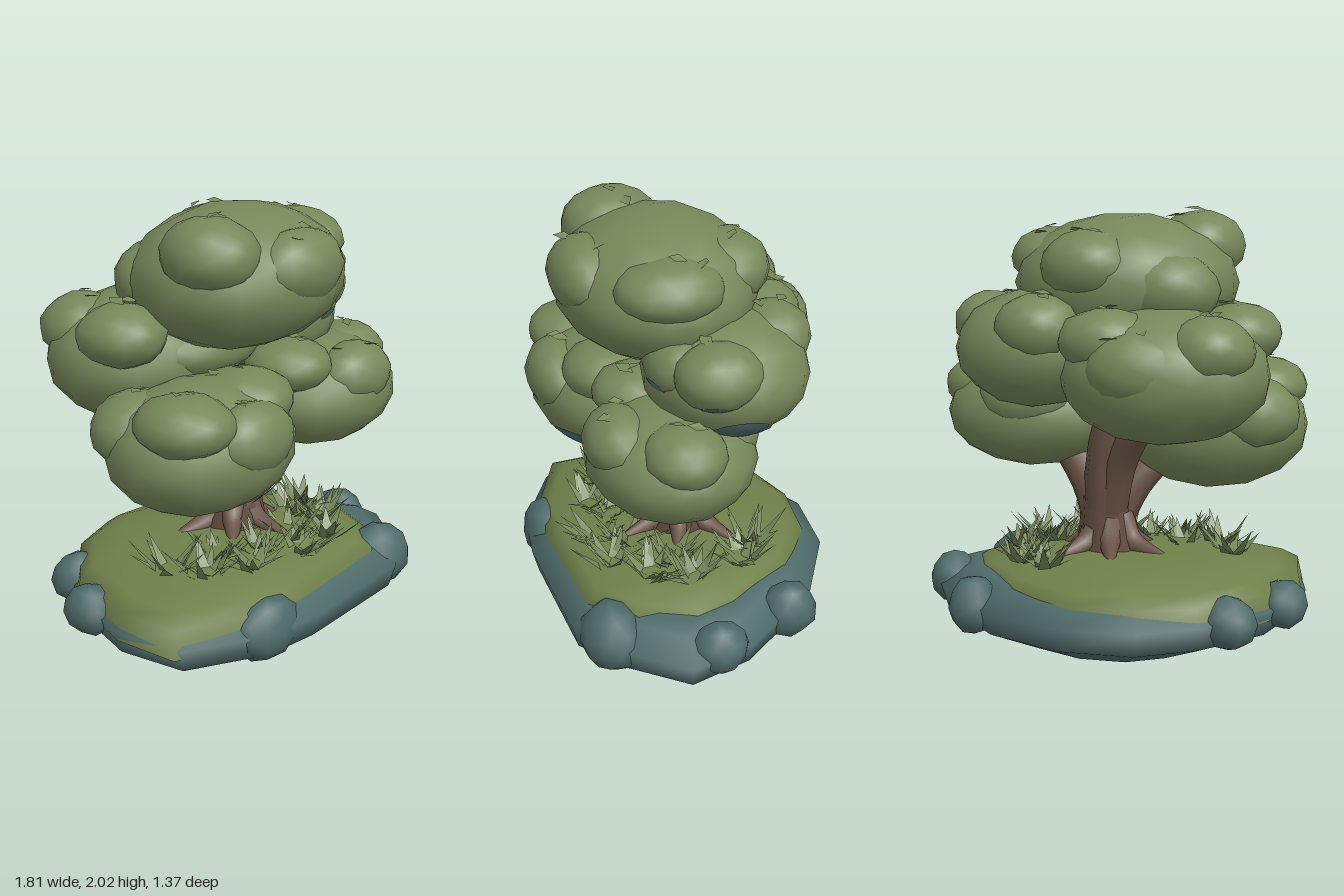
import * as THREE from 'three';
import { mergeVertices } from 'three/addons/utils/BufferGeometryUtils.js';

const mat = (name, color, side = THREE.FrontSide) => {
  const m = new THREE.MeshStandardMaterial({ color, side });
  m.name = name;
  return m;
};

export function createModel() {
  const model = new THREE.Group();
  const leaf = mat('leaf green', 0x76885a, THREE.DoubleSide);
  const turf = mat('turf green', 0x6f804a, THREE.DoubleSide);
  const stone = mat('blue grey stone', 0x4f6b6a);
  const bark = mat('brown bark', 0x6a5347);

  let seed = 7;
  const rnd = (a = 0, b = 1) => {
    seed = (seed * 16807) % 2147483647;
    return a + (b - a) * seed / 2147483647;
  };
  const add = (name, geometry, material, parent = model) => {
    const m = new THREE.Mesh(geometry, material);
    m.name = name;
    parent.add(m);
    return m;
  };
  const group = (name) => {
    const g = new THREE.Group();
    g.name = name;
    model.add(g);
    return g;
  };

  // Closed body: one outline scaled at several heights, bottom to top
  function loft(outline, rings) {
    const n = outline.length, pos = [], idx = [];
    rings.forEach(([y, s]) => outline.forEach(([x, z]) => pos.push(x * s, y, z * s)));
    for (let r = 0; r < rings.length - 1; r++) {
      for (let i = 0; i < n; i++) {
        const a = r * n + i, b = r * n + (i + 1) % n;
        idx.push(a, a + n, b, b, a + n, b + n);
      }
    }
    let g = new THREE.BufferGeometry();
    g.setAttribute('position', new THREE.Float32BufferAttribute(pos, 3));
    g.setIndex(idx);
    g = mergeVertices(g, 1e-4);
    g.computeVertexNormals();
    return g;
  }

  // Rock base and grassy mound
  add('rockBase', loft([[0.9, 0.18], [0.7, 0.44], [0.48, 0.62], [-0.17, 0.68], [-0.45, 0.66], [-0.82, 0.48],
    [-0.88, 0.15], [-0.76, -0.25], [-0.5, -0.54], [-0.23, -0.69], [0.12, -0.68], [0.48, -0.5], [0.8, -0.12]],
  [[0, 0], [0.045, 0.6], [0.155, 0.96], [0.26, 1], [0.335, 0.86], [0.365, 0.76], [0.375, 0]]), stone);
  add('grassMound', loft([[0.72, 0.1], [0.61, 0.36], [0.42, 0.55], [-0.15, 0.615], [-0.45, 0.615], [-0.84, 0.46],
    [-0.87, 0.15], [-0.75, -0.25], [-0.49, -0.53], [-0.22, -0.63], [0.1, -0.61], [0.4, -0.43], [0.65, -0.1]],
  [[0.22, 1], [0.34, 0.97], [0.385, 0.88], [0.43, 0.7], [0.46, 0.4], [0.468, 0]]), turf);

  // Rounded lump with softly irregular vertices
  function lump(name, [x, y, z, rx, ry, rz], material, parent, detail = 2, rough = 0.03) {
    let g = new THREE.IcosahedronGeometry(1.02, detail);
    g.deleteAttribute('normal');
    g.deleteAttribute('uv');
    g = mergeVertices(g, 1e-3);
    const p = g.attributes.position;
    for (let i = 0; i < p.count; i++) {
      const s = 1 + rnd(-rough, rough);
      p.setXYZ(i, p.getX(i) * s * rx, p.getY(i) * s * ry, p.getZ(i) * s * rz);
    }
    g.computeVertexNormals();
    add(name, g, material, parent).position.set(x, y, z);
  }

  // Boulders around the rim
  const boulders = group('boulders');
  [[-0.38, 0.245, 0.57, 0.18, 0.14, 0.11], [0.54, 0.25, 0.46, 0.18, 0.15, 0.14], [0.78, 0.27, 0.03, 0.11, 0.12, 0.13],
    [0.57, 0.25, -0.36, 0.11, 0.135, 0.13], [-0.8, 0.26, -0.1, 0.11, 0.11, 0.13], [-0.59, 0.25, -0.4, 0.13, 0.12, 0.12]]
    .forEach((b) => lump('boulder', b, stone, boulders, 1, 0.05));

  // Tapered limb along a smooth path
  function limb(name, points, r0, r1, parent) {
    const n = 8, sides = 8;
    const curve = new THREE.CatmullRomCurve3(points.map((p) => new THREE.Vector3(...p)));
    const g = new THREE.TubeGeometry(curve, n, 1, sides, false);
    const p = g.attributes.position, v = new THREE.Vector3();
    for (let i = 0; i < p.count; i++) {
      const t = Math.floor(i / (sides + 1)) / n, c = curve.getPointAt(t);
      v.fromBufferAttribute(p, i).sub(c).multiplyScalar(r0 + (r1 - r0) * t).add(c);
      p.setXYZ(i, v.x, v.y, v.z);
    }
    add(name, g, bark, parent);
  }

  // Trunk, branches and flared roots
  const tree = group('trunkAndBranches');
  limb('trunk', [[0.02, 0.42, 0.01], [0.03, 0.56, 0], [0.04, 0.72, -0.02]], 0.16, 0.105, tree);
  limb('leftBranch', [[0.05, 0.58, 0], [0.12, 0.76, 0.03], [0.34, 1.05, 0.1]], 0.1, 0.065, tree);
  limb('rightBranch', [[0.02, 0.58, 0.02], [-0.1, 0.78, 0.08], [-0.34, 1, 0.2]], 0.1, 0.065, tree);
  limb('middleBranch', [[0.03, 0.6, -0.02], [0.03, 0.85, -0.06], [-0.02, 1.15, -0.08], [-0.03, 1.45, 0]], 0.1, 0.07, tree);
  limb('backBranch', [[0.02, 0.62, -0.03], [-0.06, 0.9, -0.1], [-0.25, 1.2, -0.25]], 0.085, 0.06, tree);
  for (let i = 0; i < 6; i++) {
    const a = i / 6 * Math.PI * 2 + 0.3, c = Math.cos(a), s = Math.sin(a), l = 0.23 + 0.05 * (i % 2);
    limb('root', [[0.02 + c * 0.05, 0.6, s * 0.05], [0.02 + c * 0.12, 0.5, s * 0.12],
      [0.02 + c * l, 0.445, s * l]], 0.075, 0.02, tree);
  }

  // Canopy: main crown first in each list, then the bumps on it
  const crowns = {
    topCrown: [[-0.045, 1.68, 0.09, 0.505, 0.31, 0.44], [-0.02, 1.76, 0.41, 0.24, 0.165, 0.16],
      [-0.36, 1.84, 0.22, 0.2, 0.16, 0.22], [0.3, 1.79, 0.12, 0.19, 0.135, 0.24],
      [0.07, 1.77, -0.18, 0.22, 0.16, 0.2], [-0.26, 1.67, -0.15, 0.24, 0.17, 0.19]],
    frontRightCrown: [[-0.42, 1.02, 0.22, 0.445, 0.29, 0.37], [-0.39, 1.1, 0.485, 0.215, 0.16, 0.14],
      [-0.64, 1.19, 0.34, 0.21, 0.13, 0.22], [-0.2, 1.19, 0.27, 0.22, 0.13, 0.22], [-0.62, 1.1, 0.05, 0.22, 0.17, 0.2]],
    frontLeftCrown: [[0.4, 1.07, 0.145, 0.41, 0.255, 0.37], [0.42, 1.175, 0.38, 0.2, 0.145, 0.15],
      [0.14, 1.25, 0.23, 0.19, 0.12, 0.2], [0.64, 1.19, 0.15, 0.19, 0.135, 0.18], [0.39, 1.16, -0.07, 0.22, 0.15, 0.17]],
    backLeftCrown: [[0.32, 1.4, -0.12, 0.37, 0.26, 0.36], [0.56, 1.5, -0.02, 0.17, 0.14, 0.19],
      [0.27, 1.51, -0.34, 0.19, 0.15, 0.17], [0.36, 1.48, 0.1, 0.2, 0.14, 0.15]],
    backRightCrown: [[-0.28, 1.31, -0.27, 0.46, 0.3, 0.38], [-0.58, 1.48, -0.09, 0.19, 0.135, 0.2],
      [-0.5, 1.44, -0.42, 0.19, 0.15, 0.19], [-0.2, 1.36, -0.52, 0.22, 0.16, 0.14],
      [-0.05, 1.47, -0.39, 0.22, 0.14, 0.18], [-0.15, 1.36, 0, 0.31, 0.13, 0.17]],
  };
  const canopy = group('canopy');
  for (const [name, list] of Object.entries(crowns)) {
    list.forEach((b, i) => lump(i ? name + 'Bump' : name, b, leaf, canopy, 2, i ? 0.03 : 0.012));
  }

  // Blue grey patches under the crowns: thin caps hugging the surface
  const up = new THREE.Vector3(0, 1, 0);
  function patch([x, y, z, rx, ry, rz], dir, size) {
    const g = new THREE.SphereGeometry(1.028, 14, 5, 0, Math.PI * 2, 0, size);
    g.applyQuaternion(new THREE.Quaternion().setFromUnitVectors(up, new THREE.Vector3(...dir).normalize()));
    g.scale(rx, ry, rz);
    add('underPatch', g, stone, canopy).position.set(x, y, z);
  }
  patch(crowns.frontRightCrown[0], [0.48, -0.76, 0.45], 0.54);
  patch(crowns.backLeftCrown[0], [0.74, -0.55, 0.05], 0.38);
  patch(crowns.backLeftCrown[1], [0.6, -0.75, 0.2], 0.35);
  patch(crowns.backLeftCrown[3], [0.3, -0.5, 0.7], 0.4);

  // Flat triangles as one double sided sheet
  function sheet(name, pos, material) {
    const g = new THREE.BufferGeometry();
    g.setAttribute('position', new THREE.Float32BufferAttribute(pos, 3));
    g.computeVertexNormals();
    add(name, g, material);
  }

  // Loose diamond leaves on top of the bumps
  const leaves = [];
  for (const list of Object.values(crowns)) {
    list.slice(1).forEach(([x, y, z, rx, ry, rz]) => {
      for (let k = 0; k < 2; k++) {
        const a = rnd(0, 6.28), q = rnd(0.1, 0.6), h = Math.sqrt(1 - q * q);
        const c = [x + Math.cos(a) * q * rx, y + h * ry + 0.012, z + Math.sin(a) * q * rz];
        const t = rnd(0, 6.28), s = rnd(0.035, 0.055);
        const p = [0, 1, 2, 3].map((i) => {
          const l = i % 2 ? s * 0.6 : s, b = t + i * Math.PI / 2;
          return [c[0] + Math.cos(b) * l, c[1] + (i - 1.5) * 0.006, c[2] + Math.sin(b) * l];
        });
        leaves.push(...p[0], ...p[2], ...p[1], ...p[0], ...p[3], ...p[2]);
      }
    });
  }
  sheet('looseLeaves', leaves, leaf);

  // Grass tufts: fans of broad pointed blades
  const blades = [];
  [[-0.53, 0.12], [-0.45, 0.28], [-0.25, 0.38], [-0.3, 0.2], [-0.12, 0.3], [0.02, 0.42], [0.1, 0.27], [0.26, 0.38],
    [0.38, 0.24], [0.46, 0.05], [0.3, 0.12], [0.38, -0.2], [0.26, -0.27]].forEach(([x, z]) => {
    for (let i = 0; i < 15; i++) {
      const a = rnd(0, 6.28), c = Math.cos(a), s = Math.sin(a);
      const d = rnd(0.01, 0.07), l = rnd(0.08, 0.14), w = rnd(0.022, 0.034), h = rnd(0.05, 0.14);
      const bx = x + c * d, bz = z + s * d;
      blades.push(bx - s * w, 0.425, bz + c * w, bx + c * l, 0.43 + h, bz + s * l, bx + s * w, 0.425, bz - c * w);
    }
  });
  sheet('grassBlades', blades, leaf);

  return model;
}
